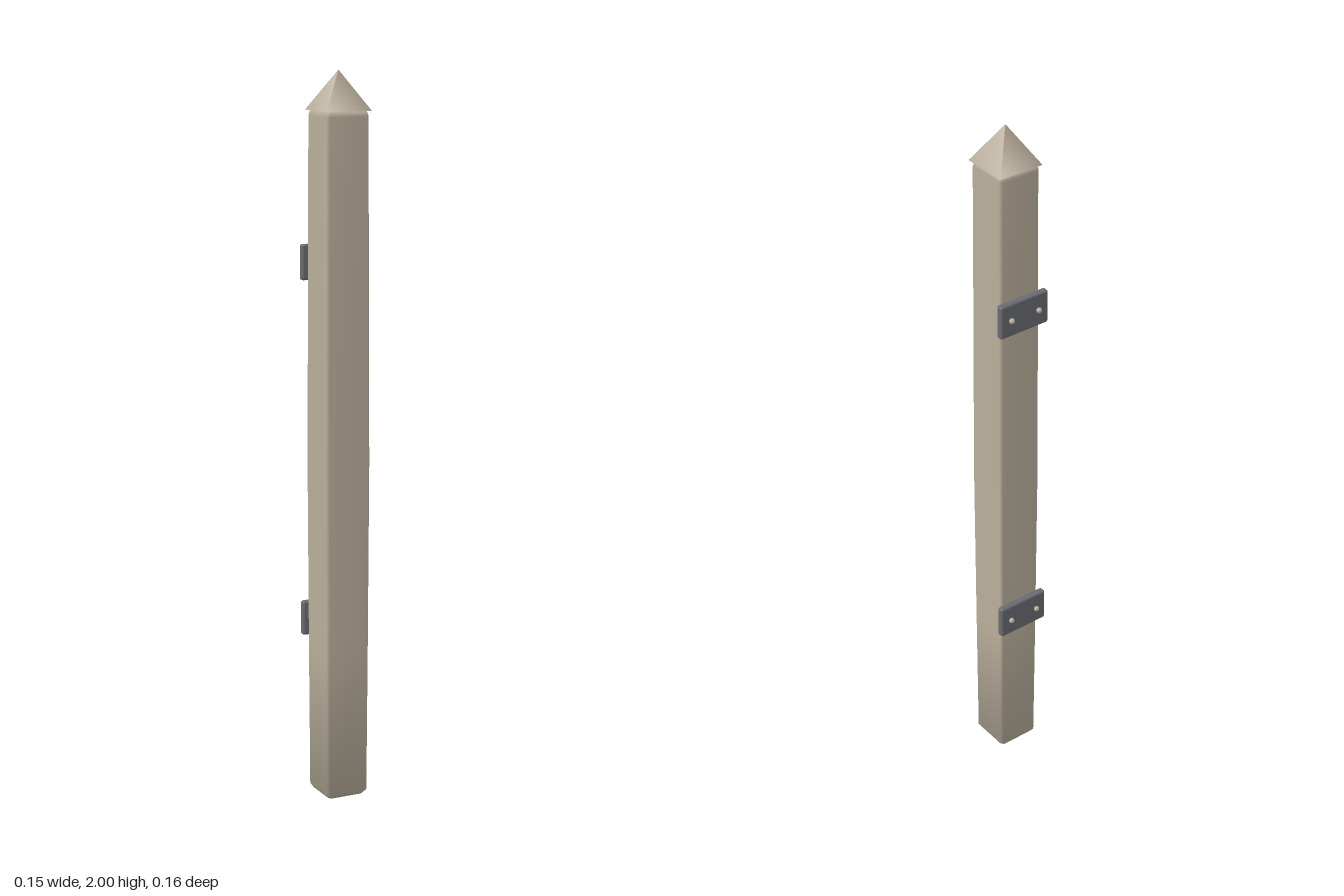
import * as THREE from 'three';
import { RoundedBoxGeometry } from 'three/addons/geometries/RoundedBoxGeometry.js';

const CENTER_Z = 0.0125;

// Square post with narrow chamfers, lofted from rings of [height, half width]
function postGeometry() {
  const rings = [[0.004, 0.052], [0.016, 0.061], [0.42, 0.063], [0.95, 0.065], [1.45, 0.063], [1.88, 0.0615], [1.895, 0.058]];
  const pos = [], idx = [];
  for (const [y, h] of rings) {
    const c = h - 0.007;
    for (const [x, z] of [[c, h], [h, c], [h, -c], [c, -h], [-c, -h], [-h, -c], [-h, c], [-c, h]]) pos.push(x, y, z);
  }
  for (let r = 0; r < rings.length - 1; r++) {
    for (let i = 0; i < 8; i++) {
      const a = r * 8 + i, b = r * 8 + (i + 1) % 8;
      idx.push(a, b, b + 8, a, b + 8, a + 8);
    }
  }
  // Slightly domed foot and closed top
  const foot = pos.length / 3, top = foot + 1, last = (rings.length - 1) * 8;
  pos.push(0, 0, 0, 0, 1.895, 0);
  for (let i = 0; i < 8; i++) {
    const j = (i + 1) % 8;
    idx.push(foot, j, i, top, last + i, last + j);
  }
  const g = new THREE.BufferGeometry();
  g.setAttribute('position', new THREE.Float32BufferAttribute(pos, 3));
  g.setIndex(idx);
  g.computeVertexNormals();
  // Soften the normals around the foot bevel
  const n = g.attributes.normal, v = new THREE.Vector3();
  for (let i = 8; i < 16; i++) {
    v.fromBufferAttribute(n, i).setY(-0.5).normalize();
    n.setXYZ(i, v.x, v.y, v.z);
  }
  return g;
}

export function createModel() {
  const wood = new THREE.MeshStandardMaterial({ color: 0xb9ae9b });
  wood.name = 'weathered wood';
  const metal = new THREE.MeshStandardMaterial({ color: 0x696b70 });
  metal.name = 'grey metal';

  const model = new THREE.Group();
  model.name = 'fencePost';
  const add = (name, geometry, material, x, y, z) => {
    const mesh = new THREE.Mesh(geometry, material);
    mesh.name = name;
    mesh.position.set(x, y, z);
    model.add(mesh);
    return mesh;
  };

  add('post', postGeometry(), wood, 0, 0, CENTER_Z);

  // Overhanging pyramid cap
  const capGeometry = new THREE.ConeGeometry(0.066 * Math.SQRT2, 0.106, 4, 1);
  capGeometry.rotateY(Math.PI / 4);
  add('cap', capGeometry, wood, 0, 1.947, CENTER_Z);

  // Two back brackets, each with a pair of domed bolts
  const plate = new RoundedBoxGeometry(0.153, 0.097, 0.02, 3, 0.006);
  const bolt = new THREE.SphereGeometry(0.008, 12, 8);
  for (const y of [0.497, 1.488]) {
    add('bracketPlate', plate, metal, 0, y, -0.06);
    for (const side of [-1, 1]) add('bolt', bolt, wood, side * 0.044, y, -0.073);
  }
  return model;
}
